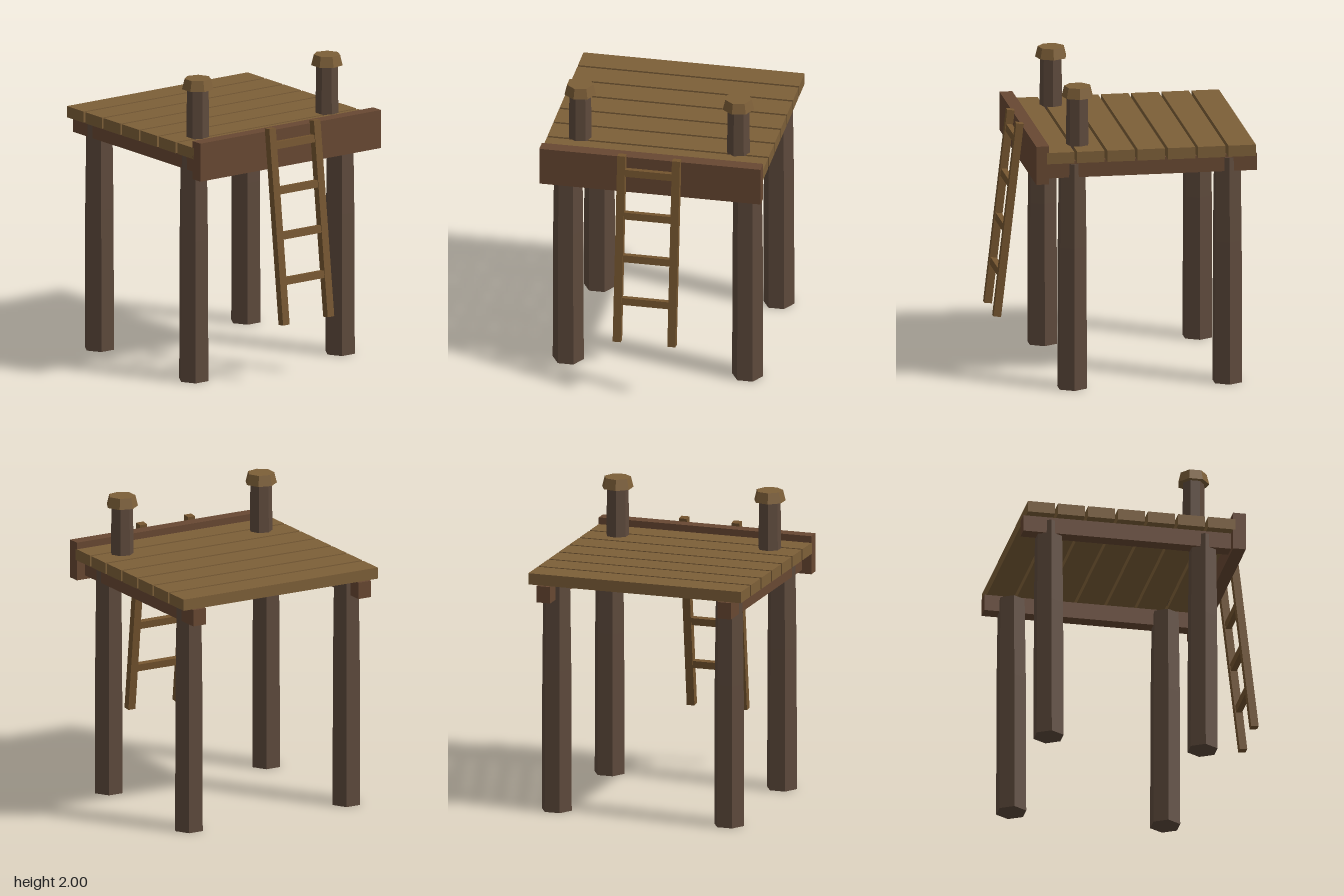
import * as THREE from 'three';

const wood = (color) => new THREE.MeshStandardMaterial({ color, flatShading: true, side: THREE.FrontSide });
const plankWood = wood(0x7d5f38);
const beamWood = wood(0x684832);
const legWood = wood(0x5e4a3c);
const ladderWood = wood(0x75552f);

export function createModel() {
  const model = new THREE.Group();

  const add = (name, geometry, material, x, y, z, parent = model) => {
    const mesh = new THREE.Mesh(geometry, material);
    mesh.name = name;
    mesh.position.set(x, y, z);
    parent.add(mesh);
    return mesh;
  };
  const box = (name, material, w, h, d, x, y, z, parent) =>
    add(name, new THREE.BoxGeometry(w, h, d), material, x, y, z, parent);

  // Deck of seven planks with narrow gaps
  for (let i = 0; i < 7; i++) {
    box('deckPlank', plankWood, 1.465, 0.075, 0.18, -0.002, 1.573, 0.476 - i * 0.199);
  }

  // Wide board across the front edge
  box('frontBoard', beamWood, 1.465, 0.255, 0.085, -0.002, 1.528, 0.594);

  // Hexagonal legs with a slight taper, closed at both ends
  const legProfile = [[0, 0], [0.103, 0], [0.1, 0.95], [0.092, 1.515], [0, 1.515]]
    .map(([r, y]) => new THREE.Vector2(r, y));
  const legGeometry = new THREE.LatheGeometry(legProfile, 6).rotateY(Math.PI / 2);

  for (const side of [-1, 1]) {
    const name = side < 0 ? 'right' : 'left';
    // Beam under the deck
    box(name + 'Beam', beamWood, 0.094, 0.11, 1.385, side * 0.623 - 0.002, 1.48, -0.133);
    add(name + 'FrontLeg', legGeometry, legWood, side * 0.594 - 0.001, 0, 0.378);
    add(name + 'BackLeg', legGeometry, legWood, side * 0.594 - 0.001, 0, -0.643);

    // Mooring post with a flared seven-sided cap
    const post = new THREE.CylinderGeometry(0.072, 0.077, 0.37, 7).rotateY(Math.PI / 2);
    const cap = new THREE.CylinderGeometry(0.088, 0.105, 0.07, 7).rotateY(Math.PI / 2);
    add(name + 'Post', post, legWood, side * 0.524 - 0.002, 1.755, 0.33);
    add(name + 'PostCap', cap, plankWood, side * 0.524 - 0.002, 1.965, 0.33);
  }

  // Ladder leaning back against the front board
  const ladder = new THREE.Group();
  ladder.name = 'ladder';
  ladder.position.set(-0.002, 1.035, 0.731);
  ladder.rotation.x = -0.116;
  model.add(ladder);
  for (const side of [-1, 1]) {
    box('ladderRail', ladderWood, 0.053, 1.295, 0.05, side * 0.181, 0, 0, ladder);
  }
  for (let i = 0; i < 4; i++) {
    box('ladderRung', ladderWood, 0.37, 0.048, 0.04, 0, 0.53 - i * 0.298, 0, ladder);
  }

  return model;
}
